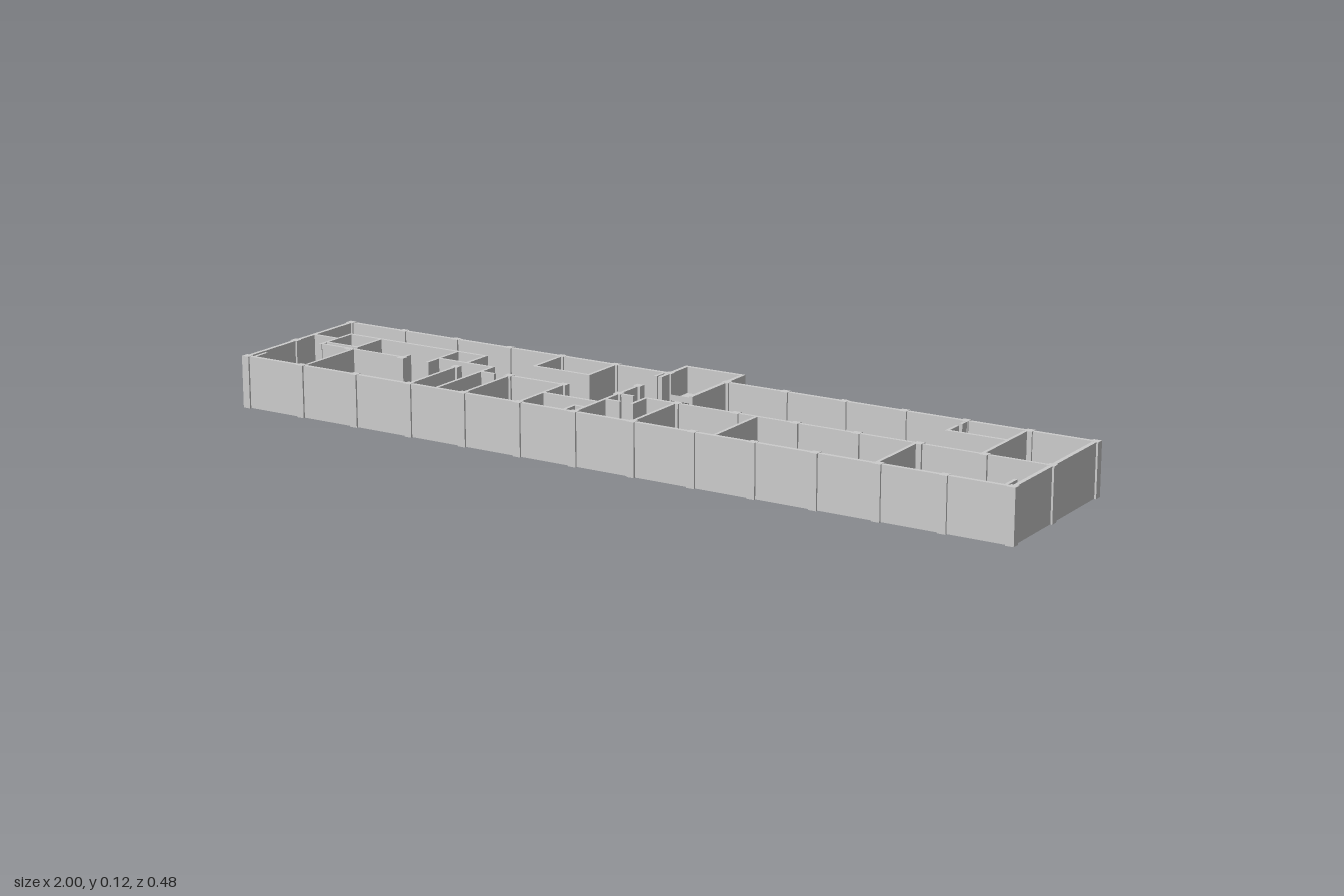
import * as THREE from 'three';

const H = 0.125;      // storey height
const SLAB = 0.005;   // floor thickness
const BACK = -0.162, MID = 0.052, FRONT = 0.231, END = 0.99;

export function createModel() {
  const model = new THREE.Group();
  model.name = 'buildingFloor';
  const material = new THREE.MeshStandardMaterial({ color: 0xcccccc, flatShading: true });

  function add(geometry, name, parent = model) {
    const mesh = new THREE.Mesh(geometry, material);
    mesh.name = name;
    parent.add(mesh);
    return mesh;
  }
  function group(name) {
    const g = new THREE.Group();
    g.name = name;
    model.add(g);
    return g;
  }
  // Upright wall along x or z, from (x1, z1) to (x2, z2)
  function wall([x1, z1, x2, z2], t, name, parent) {
    const w = Math.abs(x2 - x1) + t, d = Math.abs(z2 - z1) + t;
    add(new THREE.BoxGeometry(w, H - 0.001, d), name, parent)
      .position.set((x1 + x2) / 2, (H - 0.001) / 2 + 0.0005, (z1 + z2) / 2);
  }

  // Floor slab with stair annex and open shaft
  const outline = [[-END, FRONT], [END, FRONT], [END, BACK], [0.078, BACK],
    [0.078, -0.235], [-0.072, -0.235], [-0.072, BACK], [-END, BACK]];
  const floor = new THREE.Shape(outline.map(([x, z]) => new THREE.Vector2(x, -z)));
  const shaft = [[-0.907, -0.06], [-0.832, -0.06], [-0.832, 0.021], [-0.907, 0.021]];
  floor.holes.push(new THREE.Path(shaft.map(([x, z]) => new THREE.Vector2(x, -z))));
  const floorGeo = new THREE.ExtrudeGeometry(floor, { depth: SLAB, bevelEnabled: false });
  floorGeo.rotateX(-Math.PI / 2);
  add(floorGeo, 'floor');

  // Outer walls
  const outer = group('outerWalls');
  [
    [-END, FRONT, END, FRONT], [-END, BACK, -END, FRONT], [END, BACK, END, FRONT],
    [-END, BACK, -0.072, BACK], [0.078, BACK, END, BACK],
    [-0.072, -0.235, 0.078, -0.235],
    [-0.072, -0.235, -0.072, -0.125], [0.078, -0.235, 0.078, -0.016],
  ].forEach(w => wall(w, 0.01, 'outerWall', outer));

  // Columns on the structural grid
  const columns = group('columns');
  const columnX = [-0.99, -0.83, -0.675, -0.52, -0.37, -0.22, -0.072,
    0.08, 0.233, 0.383, 0.533, 0.683, 0.836, 0.99];
  const spots = columnX.flatMap(x => [BACK, MID, FRONT].map(z => [x, z]));
  spots.push([-0.072, -0.03]);
  for (const [x, z] of spots) {
    add(new THREE.BoxGeometry(0.019, H, 0.019), 'column', columns).position.set(x, H / 2, z);
  }

  // Partition walls: x1, z1, x2, z2
  const partitions = group('partitions');
  [
    // shaft and service rooms
    [-0.99, -0.016, -0.917, -0.016], [-0.917, -0.066, -0.917, 0.048],
    [-0.917, -0.066, -0.52, -0.066], [-0.826, -0.066, -0.826, 0.027],
    [-0.917, 0.027, -0.826, 0.027], [-0.917, 0.046, -0.68, 0.046],
    [-0.676, 0.025, -0.676, 0.05], [-0.6, -0.066, -0.6, 0.052],
    [-0.52, -0.066, -0.52, 0.01], [-0.6, 0.01, -0.446, 0.01],
    [-0.446, 0.01, -0.446, FRONT], [-0.446, 0.057, -0.41, 0.057],
    // front rooms on the right-hand half
    [-0.822, MID, -0.822, FRONT], [-0.52, MID, -0.52, FRONT],
    [-0.37, MID, -0.37, FRONT], [-0.22, MID, -0.22, FRONT],
    [-0.37, MID, -0.22, MID], [-0.22, 0.134, -0.072, 0.134],
    [-0.072, -0.016, -0.072, FRONT],
    [-0.1, 0.187, -0.1, FRONT], [-0.1, 0.187, -0.072, 0.187],
    // back room and duct beside the stairs
    [-0.37, BACK, -0.37, -0.05], [-0.22, BACK, -0.22, -0.05],
    [-0.37, -0.05, -0.22, -0.05], [-0.085, BACK, -0.085, -0.125],
    // lobby
    [-0.072, MID, -0.035, MID], [-0.072, 0.107, -0.035, 0.107], [0, MID, 0, 0.107],
    // front rooms on the left-hand half
    [0, MID, END, MID], [0.078, MID, 0.078, FRONT],
    [0.286, MID, 0.286, FRONT], [0.676, MID, 0.676, FRONT],
    // back corner room
    [0.83, BACK, 0.83, MID], [0.687, BACK, 0.687, -0.135],
    [0.687, -0.112, 0.687, -0.07], [0.687, -0.07, 0.83, -0.07],
    // corner ducts
    [-0.972, 0.187, -0.972, FRONT], [0.972, 0.187, 0.972, FRONT],
  ].forEach(w => wall(w, 0.008, 'partition', partitions));

  // Stair: two sloping flights joined by a half landing
  const stairs = group('stairs');
  const half = 0.0625, t = 0.014;
  function flight(x1, x2, zLow, yLow, zHigh, yHigh, name) {
    const s = new THREE.Shape([[zLow, yLow], [zHigh, yHigh], [zHigh, yHigh - t],
      [zLow, Math.max(yLow - t, 0.001)]].map(([z, y]) => new THREE.Vector2(-z, y)));
    const g = new THREE.ExtrudeGeometry(s, { depth: x2 - x1, bevelEnabled: false });
    g.rotateY(Math.PI / 2).translate(x1, 0, 0);
    add(g, name, stairs);
  }
  flight(-0.068, -0.013, -0.03, SLAB + 0.001, -0.172, half, 'lowerFlight');
  flight(0.019, 0.074, -0.172, half, -0.016, H - 0.005, 'upperFlight');
  add(new THREE.BoxGeometry(0.144, t, 0.06), 'landing', stairs).position.set(0.003, half - t / 2, -0.202);

  return model;
}
